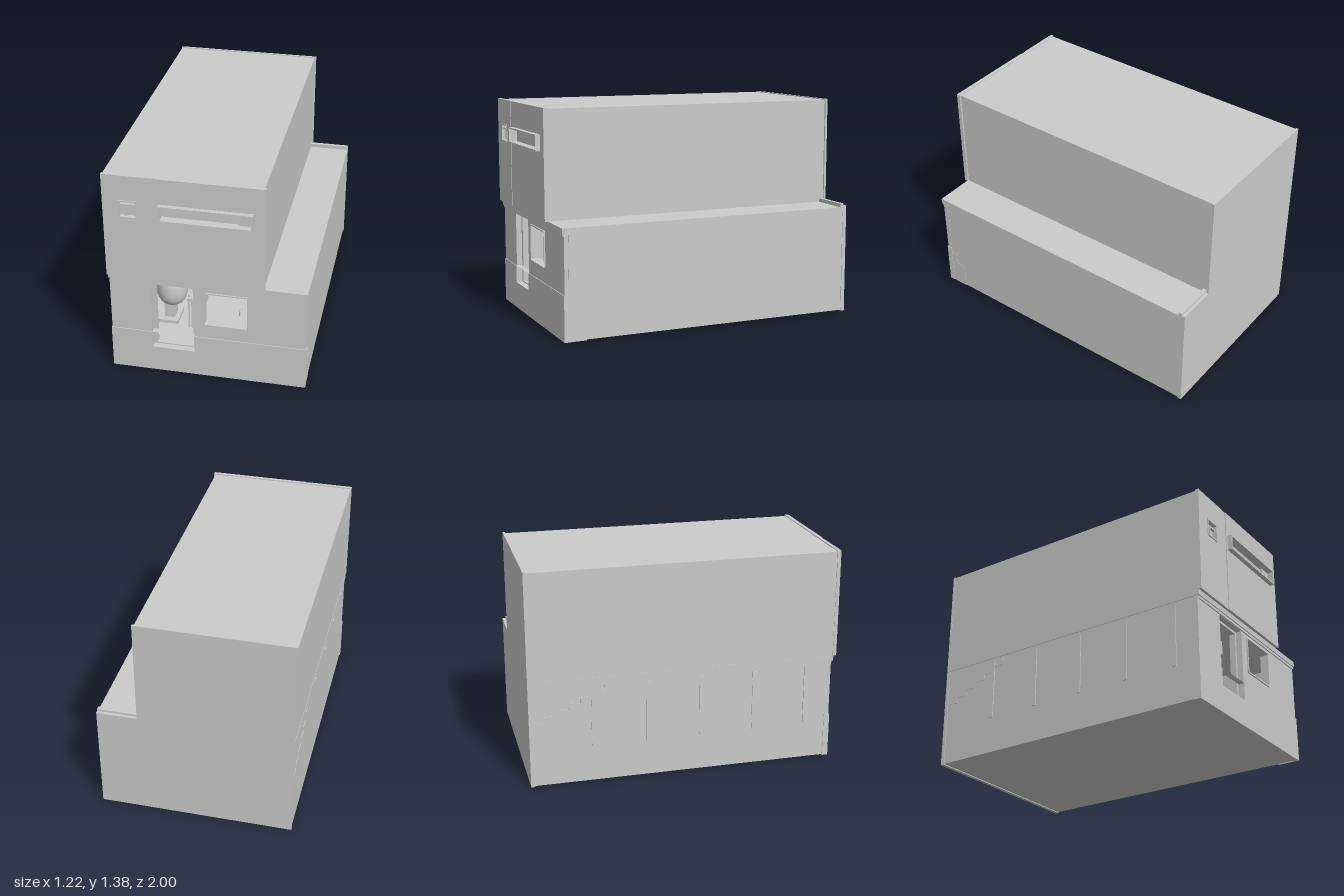
import * as THREE from 'three';

export function createModel() {
  const model = new THREE.Group();
  const mat = new THREE.MeshStandardMaterial({ color: 0xcccccc, side: THREE.DoubleSide });

  const add = (name, geo, parent = model) => {
    const mesh = new THREE.Mesh(geo, mat);
    mesh.name = name;
    parent.add(mesh);
    return mesh;
  };
  // Box from its limits on each axis
  const box = (name, x0, x1, y0, y1, z0, z1, parent) =>
    add(name, new THREE.BoxGeometry(x1 - x0, y1 - y0, z1 - z0)
      .translate((x0 + x1) / 2, (y0 + y1) / 2, (z0 + z1) / 2), parent);

  // Rectangle outline, optionally with rounded corners
  const rect = (x0, x1, y0, y1, r = 0, Type = THREE.Path) => {
    const p = new Type();
    if (!r) {
      p.moveTo(x0, y0); p.lineTo(x1, y0); p.lineTo(x1, y1); p.lineTo(x0, y1); p.closePath();
      return p;
    }
    p.moveTo(x0 + r, y0);
    p.lineTo(x1 - r, y0); p.quadraticCurveTo(x1, y0, x1, y0 + r);
    p.lineTo(x1, y1 - r); p.quadraticCurveTo(x1, y1, x1 - r, y1);
    p.lineTo(x0 + r, y1); p.quadraticCurveTo(x0, y1, x0, y1 - r);
    p.lineTo(x0, y0 + r); p.quadraticCurveTo(x0, y0, x0 + r, y0);
    return p;
  };
  // Upright panel with openings, each given as [x0, x1, y0, y1, radius]
  const panel = (name, outer, holes, z0, z1, parent) => {
    const shape = rect(...outer, THREE.Shape);
    holes.forEach(h => shape.holes.push(rect(...h)));
    return add(name, new THREE.ExtrudeGeometry(shape,
      { depth: z1 - z0, bevelEnabled: false, curveSegments: 4 }).translate(0, 0, z0), parent);
  };

  // Ground storey shell
  const ground = new THREE.Group();
  ground.name = 'groundStorey';
  model.add(ground);
  const door = [-0.35, -0.085, 0.172, 0.636, 0];
  const windowHole = [-0.02, 0.25, 0.382, 0.612, 0.008];
  box('floorBlock', -0.606, 0.606, 0.005, 0.172, -0.995, 0.9, ground);
  box('leftWall', 0.566, 0.606, 0.172, 0.66, -0.995, 0.9, ground);
  box('rightWall', -0.606, -0.566, 0.172, 0.66, -0.995, 0.9, ground);
  box('backWall', -0.61, 0.61, 0, 0.69, -1, -0.975, ground);
  box('innerWall', -0.566, 0.566, 0.172, 0.66, 0.16, 0.2, ground);
  box('terraceSlab', -0.61, 0.61, 0.655, 0.69, -0.985, 0.95, ground);
  panel('frontWall', [-0.606, 0.606, 0, 0.655, 0], [door, windowHole], 0.9, 0.937, ground);
  box('frontBand', -0.6, 0.606, 0.638, 0.655, 0.93, 0.944, ground);
  panel('frontPlinth', [-0.61, 0.61, 0, 0.285, 0], [[-0.35, -0.085, 0.172, 0.2849, 0]], 0.905, 0.942, ground);
  panel('doorFrame', [-0.36, -0.075, 0.165, 0.645, 0],
    [[-0.33, -0.098, 0.18, 0.622, 0]], 0.86, 0.899, ground);
  panel('windowFrame', [-0.024, 0.254, 0.378, 0.616, 0.012],
    [[-0.016, 0.246, 0.386, 0.608, 0.008]], 0.89, 0.945, ground);

  // Stepped parapet at the back of the terrace
  box('parapet', 0.345, 0.61, 0.69, 0.714, -0.98, -0.955);
  box('parapetStep', 0.345, 0.61, 0.68, 0.7, -1, -0.98);

  // Thin trim on the side walls
  box('leftTrim', 0.6, 0.6085, 0.29, 0.65, 0.902, 0.91);
  box('leftBase', 0.6, 0.608, 0, 0.17, 0.8, 0.905);
  box('leftBaseStep', 0.6, 0.608, 0.17, 0.25, 0.86, 0.905);
  for (let i = 0; i < 5; i++) {
    const z = -0.6 + i * 0.343;
    box('rightRib', -0.612, -0.6, 0.24, 0.63, z - 0.014, z + 0.014);
  }
  for (let i = 0; i < 6; i++) {
    const z = -0.97 + i * 0.075, y = 0.41 + i * 0.036;
    box('stairTrim', -0.609, -0.6, y, y + 0.012, z, z + 0.075);
    box('stairTrim', -0.609, -0.6, y, y + 0.045, z + 0.067, z + 0.075);
  }

  // Upper storey
  const upper = new THREE.Group();
  upper.name = 'upperStorey';
  model.add(upper);
  const slot = [-0.262, 0.278, 1.12, 1.203, 0];
  const small = [-0.508, -0.412, 1.108, 1.207, 0];
  box('upperBody', -0.608, 0.345, 0.68, 1.37, -0.99, 0.945, upper);
  box('upperBack', -0.61, 0.355, 0.68, 1.376, -1, -0.985, upper);
  panel('frontPanelRight', [-0.612, -0.33, 0.69, 1.376, 0], [small], 0.945, 0.968, upper);
  panel('frontPanelLeft', [-0.285, 0.356, 0.69, 1.376, 0], [slot], 0.945, 0.97, upper);
  box('panelJoint', -0.33, -0.285, 0.69, 1.376, 0.945, 0.965, upper);

  // Projecting frames of the upper windows
  panel('longWindowFrame', [-0.272, 0.287, 1.111, 1.212, 0], [slot], 0.965, 1, upper);
  box('longWindowPane', 0.2, 0.278, 1.12, 1.203, 0.94, 0.96, upper);
  panel('smallWindowFrame', [-0.515, -0.405, 1.1, 1.215, 0], [small], 0.955, 0.974, upper);
  box('smallWindowRail', -0.508, -0.412, 1.178, 1.188, 0.945, 0.962, upper);
  box('smallWindowPost', -0.476, -0.468, 1.108, 1.178, 0.945, 0.962, upper);

  // Room behind the door: storage tank, stand and wall boxes
  const room = new THREE.Group();
  room.name = 'interior';
  model.add(room);
  const profile = [];
  for (let i = 0; i <= 24; i++) {
    const a = -Math.PI / 2 + Math.PI * i / 24;
    profile.push(new THREE.Vector2(0.1 * Math.pow(Math.abs(Math.cos(a)), 0.75),
      0.125 * Math.sign(Math.sin(a)) * Math.pow(Math.abs(Math.sin(a)), 0.85)));
  }
  add('tank', new THREE.LatheGeometry(profile, 32), room).position.set(-0.305, 0.411, 0.6);
  add('tankCap', new THREE.CylinderGeometry(0.03, 0.03, 0.014, 20), room).position.set(-0.305, 0.54, 0.6);
  box('tankBase', -0.4, -0.255, 0.172, 0.195, 0.52, 0.68, room);
  box('tankPlinth', -0.35, -0.285, 0.195, 0.3, 0.56, 0.64, room);
  box('hangingBox', -0.36, -0.19, 0.52, 0.655, 0.3, 0.45, room);
  box('hangingBox', -0.147, -0.09, 0.56, 0.655, 0.5, 0.65, room);
  box('standTop', -0.182, -0.09, 0.385, 0.405, 0.5, 0.72, room);
  box('standBody', -0.16, -0.09, 0.172, 0.385, 0.52, 0.7, room);
  box('standPost', -0.18, -0.172, 0.172, 0.42, 0.69, 0.7, room);

  // Kitchen behind the window: counter, tap, cupboards and lamp
  box('counter', -0.06, 0.45, 0.172, 0.38, 0.6, 0.89, room);
  box('shelf', -0.06, 0.035, 0.385, 0.395, 0.3, 0.5, room);
  box('partition', 0.02, 0.04, 0.172, 0.655, 0.2, 0.45, room);
  box('cupboard', 0.14, 0.4, 0.485, 0.655, 0.2, 0.35, room);
  box('cupboard', -0.06, 0.008, 0.56, 0.655, 0.6, 0.75, room);
  add('lampShade', new THREE.CylinderGeometry(0.012, 0.04, 0.03, 20, 1, true), room).position.set(0.09, 0.56, 0.6);
  add('lampCord', new THREE.CylinderGeometry(0.002, 0.002, 0.09, 8), room).position.set(0.09, 0.615, 0.6);
  const tap = new THREE.CatmullRomCurve3([[0.172, 0.38, 0.8], [0.172, 0.412, 0.8],
    [0.172, 0.42, 0.785], [0.172, 0.408, 0.77]].map(p => new THREE.Vector3(...p)));
  add('tap', new THREE.TubeGeometry(tap, 16, 0.004, 8), room);
  box('hangingUtensil', 0.132, 0.138, 0.45, 0.49, 0.34, 0.346, room);

  return model;
}
